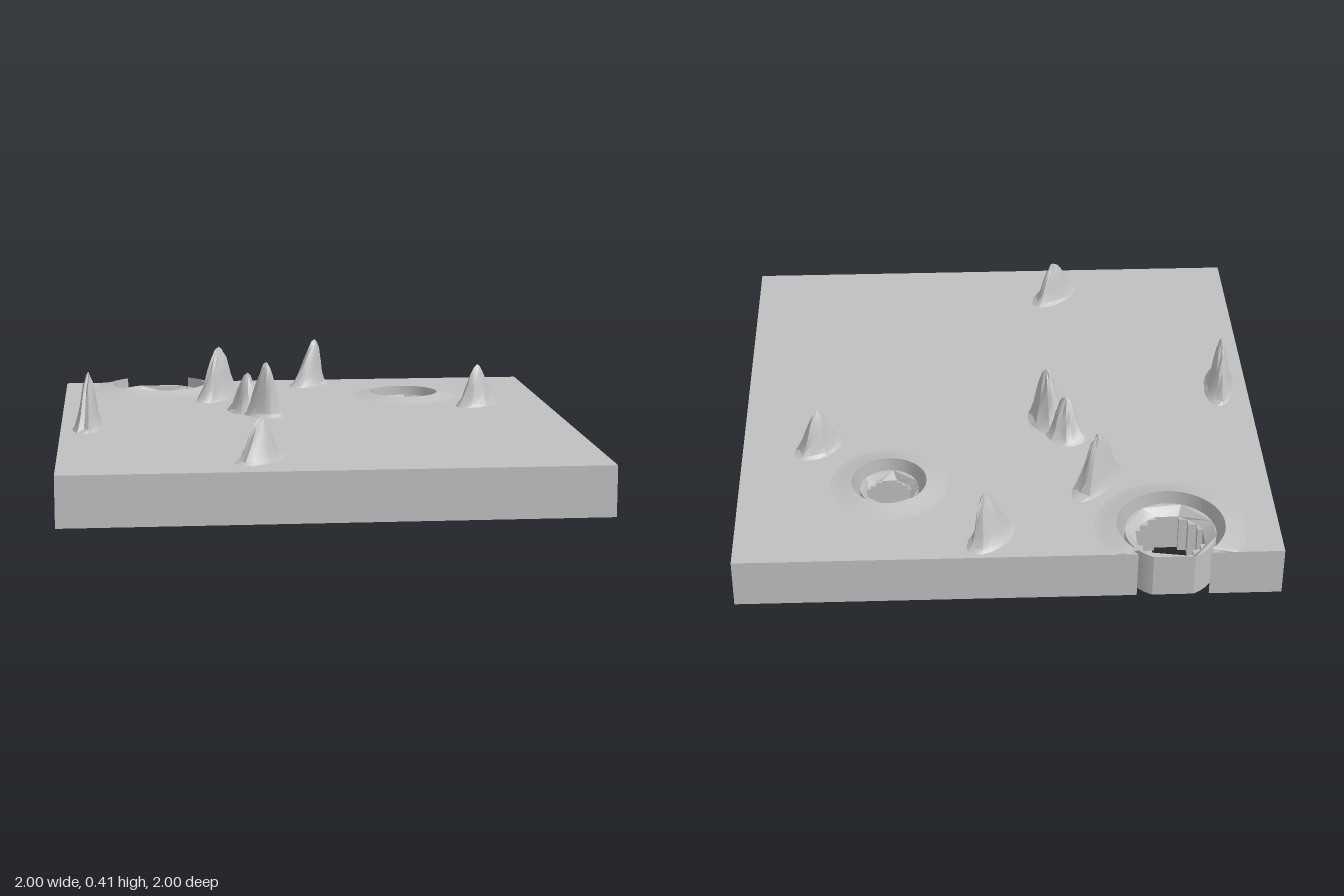
import * as THREE from 'three';
import { toCreasedNormals } from 'three/addons/utils/BufferGeometryUtils.js';

const TOP = 0.19;
const stone = new THREE.MeshStandardMaterial({ color: 0xc0c0c0 });
stone.name = 'grey stone';

// Craters: centre, gap radius, core radius, size of the stepped hole
const craters = [
  { name: 'largeCrater', x: -0.6, z: -0.85, r: 0.2, core: 0.168, hole: 0.125 },
  { name: 'smallCrater', x: 0.435, z: -0.545, r: 0.142, core: 0.11, hole: 0.083 },
];

// Peaks: summit, base centre, half extents, diagonal skew, height
const peaks = [
  { sx: -0.89, sz: 0.08, cx: -0.89, cz: 0.075, hx: 0.065, hz: 0.15, skew: -0.25, h: 0.41 },
  { sx: -0.18, sz: -0.11, cx: -0.19, cz: -0.15, hx: 0.085, hz: 0.1, skew: 0.3, h: 0.41 },
  { sx: -0.25, sz: -0.22, cx: -0.25, cz: -0.23, hx: 0.085, hz: 0.1, skew: 0.2, h: 0.35 },
  { sx: -0.35, sz: -0.555, cx: -0.35, cz: -0.555, hx: 0.105, hz: 0.13, skew: -0.75, h: 0.41 },
  { sx: 0.085, sz: -0.88, cx: 0.06, cz: -0.88, hx: 0.095, hz: 0.105, skew: -0.55, h: 0.39 },
  { sx: 0.71, sz: -0.295, cx: 0.71, cz: -0.3, hx: 0.095, hz: 0.085, skew: -0.45, h: 0.36 },
  { sx: -0.26, sz: 0.79, cx: -0.265, cz: 0.795, hx: 0.1, hz: 0.105, skew: -0.6, h: 0.35 },
];

function mesh(name, geometry) {
  const m = new THREE.Mesh(geometry, stone);
  m.name = name;
  return m;
}

// Stand a plan (x, -z) up as a solid of the given height
function solid(shape, height) {
  const g = new THREE.ExtrudeGeometry(shape, { depth: height, bevelEnabled: false, curveSegments: 24 });
  return g.rotateX(-Math.PI / 2);
}

function seeded(seed) {
  let s = seed;
  return () => (s = (s * 16807) % 2147483647) / 2147483647;
}

// Square slab with a notch at the back edge and one round hole
function slab() {
  const [big, small] = craters;
  const a = Math.asin((1 + big.z) / big.r);
  const s = new THREE.Shape();
  s.moveTo(-1, -1).lineTo(1, -1).lineTo(1, 1);
  s.lineTo(big.x + big.r * Math.cos(a), 1);
  s.absarc(big.x, -big.z, big.r, a, Math.PI - a, true);
  s.lineTo(-1, 1).closePath();
  const hole = new THREE.Path();
  hole.absarc(small.x, -small.z, small.r, 0, Math.PI * 2, true);
  s.holes.push(hole);
  return solid(s, TOP);
}

// Low raised lip around the gap, cut off at the slab's back edge
function rim(c) {
  const profile = [[0.08, 0], [0.045, 0.005], [0.018, 0.014], [0, 0.018], [0, -0.01]]
    .map(([d, y]) => new THREE.Vector2(c.r + d, TOP + 0.0005 + y));
  const cut = 1 + c.z < c.r ? Math.acos((1 + c.z) / c.r) : 0;
  const g = new THREE.LatheGeometry(profile, 32, cut - Math.PI, 2 * (Math.PI - cut));
  g.translate(c.x, 0, c.z);
  const p = g.attributes.position;
  for (let i = 0; i < p.count; i++) p.setZ(i, Math.max(p.getZ(i), -1));
  return toCreasedNormals(g, 0.7);
}

// Free-standing core ring with a stepped hole; its top dips inwards
function core(c) {
  const s = new THREE.Shape();
  const back = 1 + c.z;
  if (back < c.core) {
    const a = Math.asin(back / c.core);
    s.absarc(c.x, -c.z, c.core, Math.PI - a, Math.PI * 2 + a, false);
    s.closePath();
  } else s.absarc(c.x, -c.z, c.core, 0, Math.PI * 2, false);

  const steps = [[1, 0.35], [0.85, 0.35], [0.85, 0.6], [0.6, 0.6], [0.6, 0.85], [0.35, 0.85], [0.35, 1]];
  const pts = [];
  for (let q = 0; q < 4; q++) {
    for (const [u, v] of steps) {
      const p = new THREE.Vector2(u, v).multiplyScalar(c.hole);
      pts.push(p.rotateAround(new THREE.Vector2(), q * Math.PI / 2).add(new THREE.Vector2(c.x, -c.z)));
    }
  }
  s.holes.push(new THREE.Path(pts.reverse()));

  const g = solid(s, 0.175);
  const p = g.attributes.position;
  for (let i = 0; i < p.count; i++) {
    const d = Math.hypot(p.getX(i) - c.x, p.getZ(i) - c.z);
    if (p.getY(i) > 0.1 && d < c.hole * 1.1) p.setY(i, 0.145);
  }
  return toCreasedNormals(g, 0.5);
}

// Fluted rock: skewed oval rings that shrink towards a ragged summit
function peak(k, seed) {
  const rand = seeded(seed);
  const n = 16;
  const rings = [[0, 1], [0.06, 0.86], [0.3, 0.66], [0.55, 0.5], [0.8, 0.33], [0.96, 0.17]];
  const flute = Array.from({ length: n }, () => 0.84 + 0.24 * rand());
  const pos = [], index = [];
  rings.forEach(([t, s], i) => {
    const cx = THREE.MathUtils.lerp(k.cx, k.sx, t), cz = THREE.MathUtils.lerp(k.cz, k.sz, t);
    for (let j = 0; j < n; j++) {
      const a = j / n * Math.PI * 2;
      const r = s * (i ? flute[j] : 1);
      const y = TOP + (k.h - TOP) * (t - (i > 1 ? 0.1 * rand() : 0));
      pos.push(cx + k.hx * r * Math.cos(a), i ? y : TOP - 0.002, cz + k.hz * r * Math.sin(a + k.skew));
    }
  });
  pos.push(k.sx, k.h, k.sz);
  const apex = rings.length * n;
  for (let i = 0; i < rings.length; i++) {
    for (let j = 0; j < n; j++) {
      const a = i * n + j, b = i * n + (j + 1) % n;
      if (i === rings.length - 1) index.push(a, apex, b);
      else index.push(a, a + n, b, b, a + n, b + n);
    }
  }
  const g = new THREE.BufferGeometry();
  g.setAttribute('position', new THREE.Float32BufferAttribute(pos, 3));
  g.setIndex(index);
  return toCreasedNormals(g, 0.5);
}

export function createModel() {
  const model = new THREE.Group();
  model.name = 'rockyGround';
  model.add(mesh('groundSlab', slab()));

  for (const c of craters) {
    const group = new THREE.Group();
    group.name = c.name;
    group.add(mesh('craterRim', rim(c)), mesh('craterCore', core(c)));
    model.add(group);
  }

  peaks.forEach((k, i) => model.add(mesh('rockPeak' + (i + 1), peak(k, 101 + i * 977))));
  return model;
}
